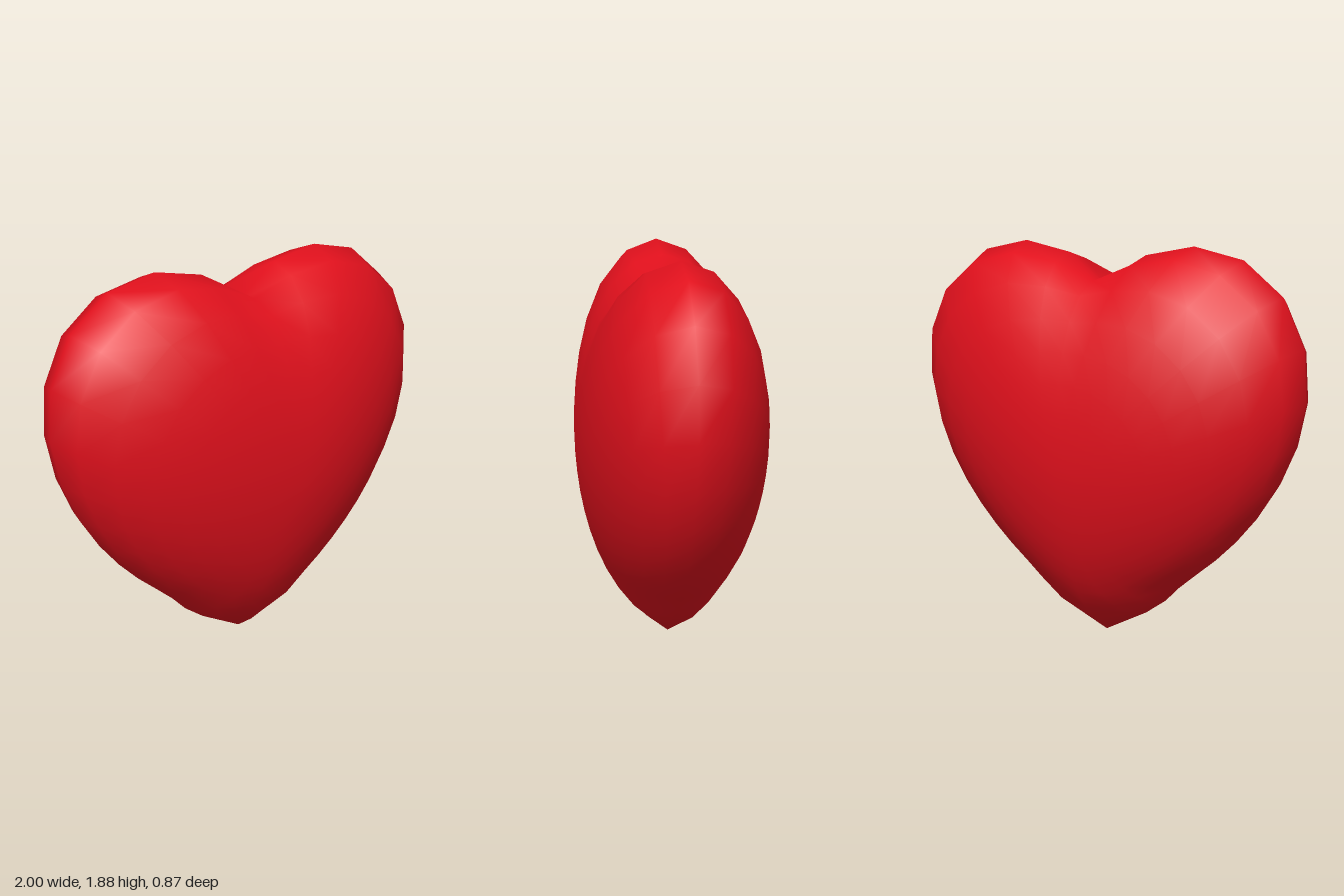
import * as THREE from 'three';
import { mergeVertices } from 'three/addons/utils/BufferGeometryUtils.js';

// Distance from the centre to the heart surface
// (x² + 9/4 z² + y² - 1)³ = (x² + 9/80 z²) y³ along a unit direction.
function heartRadius(d) {
  const q = d.x * d.x + 2.25 * d.z * d.z + d.y * d.y;
  const k = Math.cbrt(d.x * d.x + (9 / 80) * d.z * d.z) * d.y;
  let lo = 0, hi = 3;
  for (let i = 0; i < 40; i++) {
    const r = (lo + hi) / 2;
    if (q * r * r - 1 - Math.pow(r, 5 / 3) * k < 0) lo = r;
    else hi = r;
  }
  return lo;
}

export function createModel() {
  const group = new THREE.Group();
  group.name = 'heart';

  // Sphere with its poles at front and back, so a ring runs round the outline
  let geometry = new THREE.SphereGeometry(1, 32, 18).rotateX(Math.PI / 2);
  geometry.deleteAttribute('uv');
  geometry.deleteAttribute('normal');
  geometry = mergeVertices(geometry, 1e-4);

  const pos = geometry.attributes.position;
  const v = new THREE.Vector3();
  for (let i = 0; i < pos.count; i++) {
    v.fromBufferAttribute(pos, i).normalize();
    v.multiplyScalar(heartRadius(v));
    const y = 0.84 + v.y * 0.84;
    // Blunt the bottom tip sideways
    const t = Math.max(0, 1 - y / 0.35);
    pos.setXYZ(i, v.x * 0.88 * (1 + 1.3 * t * t), y, v.z * 0.645);
  }
  geometry.computeVertexNormals();

  const body = new THREE.Mesh(geometry, new THREE.MeshStandardMaterial({ color: 0xe0101c }));
  body.name = 'heartBody';
  group.add(body);
  return group;
}
